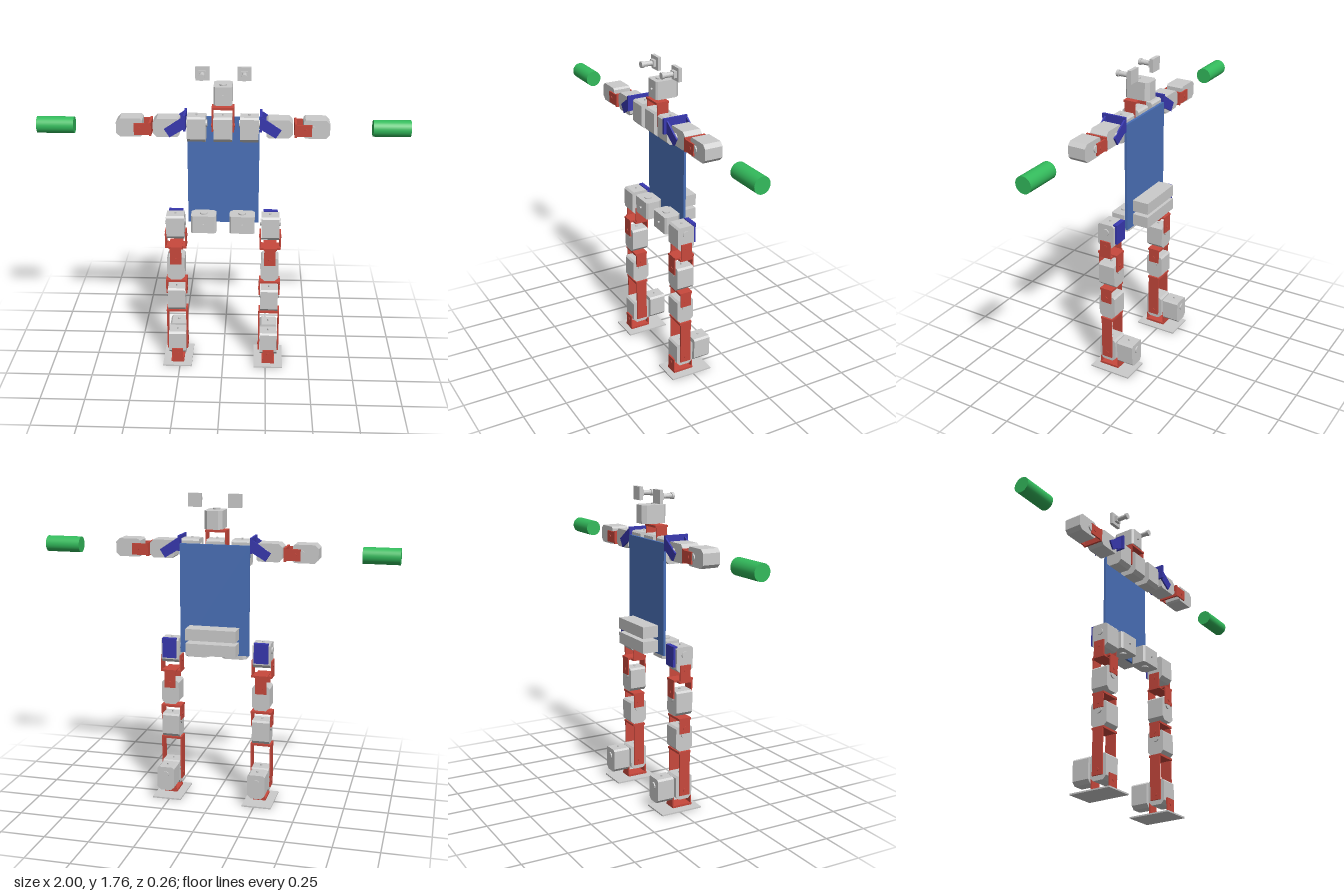
import * as THREE from 'three';

const mat = (color) => new THREE.MeshStandardMaterial({ color, flatShading: true });
const GREY = mat(0xcccccc);
const RED = mat(0xc8483c);
const BLUE = mat(0x3838b0);
const PLATE = mat(0x4a70b8);
const GREEN = new THREE.MeshStandardMaterial({ color: 0x33bb5c });
const H = Math.PI / 2;
const ZC = 0.04; // depth of the main servo line

function add(parent, name, geo, material, x = 0, y = 0, z = 0) {
  const m = new THREE.Mesh(geo, material);
  m.name = name;
  m.position.set(x, y, z);
  parent.add(m);
  return m;
}

// Box given by its lower and upper corners
function slab(parent, name, material, a, b) {
  const d = b.map((v, i) => v - a[i]);
  const c = b.map((v, i) => (v + a[i]) / 2);
  return add(parent, name, new THREE.BoxGeometry(...d), material, ...c);
}

// Servo: chamfered outline w x h, extruded along its output axis (local z)
function servo(parent, name, pos, rot, w = 0.1, h = 0.14, d = 0.1) {
  const g = new THREE.Group();
  g.name = name;
  const c = 0.02, x = w / 2, y = h / 2;
  const outline = new THREE.Shape([
    [-x + c, -y], [x - c, -y], [x, -y + c], [x, y - c / 2],
    [x - c / 2, y], [-x + c / 2, y], [-x, y - c / 2], [-x, -y + c],
  ].map((p) => new THREE.Vector2(...p)));
  const body = new THREE.ExtrudeGeometry(outline, { depth: d, bevelEnabled: false });
  add(g, 'servoBody', body.translate(0, 0, -d / 2), GREY);
  // output horn on both faces
  const horn = new THREE.CylinderGeometry(0.02, 0.02, d + 0.014, 16).rotateX(H);
  add(g, 'servoHorn', horn, GREY, 0, y - 0.045, 0);
  // cable boss on the end
  add(g, 'cableBoss', new THREE.CylinderGeometry(0.006, 0.006, 0.01, 8), GREY, 0, y + 0.004, 0);
  g.position.set(...pos);
  g.rotation.set(...rot, 'ZYX');
  parent.add(g);
  return g;
}

// U bracket: base plate with two straps hanging along local -y
function bracket(parent, name, pos, rot, length, gap = 0.12) {
  const t = 0.008, g = new THREE.Group();
  g.name = name;
  add(g, 'bracketBase', new THREE.BoxGeometry(gap, 0.012, 0.075), RED);
  for (const s of [-1, 1]) {
    add(g, 'bracketStrap', new THREE.BoxGeometry(t, length, 0.064), RED, s * (gap - t) / 2, -length / 2, 0);
    const pin = new THREE.CylinderGeometry(0.01, 0.01, 0.006, 10).rotateZ(H);
    add(g, 'bracketPin', pin, RED, s * gap / 2, -length + 0.03, 0);
  }
  g.position.set(...pos);
  g.rotation.set(...rot, 'ZYX');
  parent.add(g);
  return g;
}

function buildLeg(s) {
  const g = new THREE.Group();
  g.name = s > 0 ? 'leftLeg' : 'rightLeg';
  const x = 0.265 * s;
  const alongX = [0, H, 0], alongZ = [0, 0, 0];
  // hip with its rear mounting plate
  servo(g, 'hipServo', [x, 0.865, ZC], alongX);
  slab(g, 'hipPlate', BLUE, [x - 0.04, 0.826, -0.026], [x + 0.04, 0.937, -0.012]);
  slab(g, 'hipPlateTop', BLUE, [x - 0.04, 0.931, -0.026], [x + 0.04, 0.94, 0.0]);
  // crossed brackets between hip and thigh
  bracket(g, 'hipBracket', [x, 0.742, ZC], [Math.PI, 0, 0], 0.093);
  bracket(g, 'thighBracket', [x, 0.747, ZC], [0, H, 0], 0.1);
  servo(g, 'thighServo', [x, 0.617, ZC], alongZ);
  // knee
  bracket(g, 'kneeBracket', [x, 0.53, ZC], [0, 0, 0], 0.082);
  servo(g, 'kneeServo', [x, 0.415, ZC], alongX);
  // shin and ankle
  bracket(g, 'shinBracket', [x, 0.338, ZC], [0, 0, 0], 0.253);
  slab(g, 'shinCrossPlate', RED, [x - 0.06, 0.14, 0.01], [x + 0.06, 0.148, 0.07]);
  servo(g, 'anklePitchServo', [x, 0.13, ZC], alongX);
  servo(g, 'ankleRollServo', [x, 0.13, -0.073], alongZ);
  // foot
  bracket(g, 'footBracket', [x, 0.016, ZC], [Math.PI, H, 0], 0.08);
  slab(g, 'footPlate', GREY, [x - 0.084, 0, -0.113], [x + 0.084, 0.008, 0.135]);
  return g;
}

function buildArm(s) {
  const g = new THREE.Group();
  g.name = s > 0 ? 'leftArm' : 'rightArm';
  const y = 1.447;
  // tilted shoulder bracket
  add(g, 'shoulderBase', new THREE.BoxGeometry(0.012, 0.085, 0.14), BLUE, 0.203 * s, 1.482, 0.047);
  const outline = new THREE.Shape([[0.2, 1.515], [0.215, 1.51], [0.312, 1.445], [0.283, 1.4], [0.2, 1.45]]
    .map((p) => new THREE.Vector2(p[0] * s, p[1])));
  for (const z of [-0.024, 0.093]) {
    add(g, 'shoulderStrap', new THREE.ExtrudeGeometry(outline, { depth: 0.009, bevelEnabled: false }), BLUE, 0, 0, z);
  }
  // upper arm, elbow bracket, forearm
  servo(g, 'upperArmServo', [0.303 * s, y, ZC - 0.003], [0, 0, s * H]);
  bracket(g, 'elbowBracket', [0.388 * s, y - 0.006, ZC - 0.003], [0, H, s * H], 0.086);
  servo(g, 'forearmServo', [0.5 * s, y, ZC - 0.003], [0, 0, s * H]);
  // hand grip
  add(g, 'hand', new THREE.CylinderGeometry(0.045, 0.045, 0.2, 32).rotateZ(H), GREEN, 0.9 * s, 1.445, 0.042);
  return g;
}

function buildHead() {
  const g = new THREE.Group();
  g.name = 'head';
  bracket(g, 'neckBracket', [0, 1.552, ZC], [0, 0, 0], 0.13);
  servo(g, 'headServo', [0, 1.619, 0.003], [H, 0, 0]);
  // camera boards with lens barrels
  for (const s of [-1, 1]) {
    const x = 0.112 * s, y = 1.721;
    slab(g, 'cameraBoard', GREY, [x - 0.037, y - 0.037, -0.023], [x + 0.037, y + 0.037, -0.003]);
    slab(g, 'lensMount', GREY, [x - 0.018, y - 0.018, -0.003], [x + 0.018, y + 0.018, 0.014]);
    add(g, 'lensBarrel', new THREE.CylinderGeometry(0.014, 0.014, 0.08, 20).rotateX(H), GREY, x, y, 0.04);
    add(g, 'lensRim', new THREE.CylinderGeometry(0.018, 0.018, 0.015, 20).rotateX(H), GREY, x, y, 0.073);
  }
  return g;
}

function buildTorso() {
  const g = new THREE.Group();
  g.name = 'torso';
  slab(g, 'backPlate', PLATE, [-0.197, 0.865, -0.025], [0.197, 1.482, -0.011]);
  // row of chest servos
  for (const x of [-0.142, 0, 0.142]) servo(g, 'chestServo', [x, 1.437, ZC], [0, H, 0]);
  // waist servos turning about the vertical axis
  for (const s of [-1, 1]) servo(g, 'waistServo', [0.107 * s, 0.888, ZC], [H, 0, 0], 0.14, 0.1, 0.1);
  // battery packs
  for (const y of [0.877, 0.96]) slab(g, 'battery', GREY, [-0.142, y, -0.121], [0.142, y + 0.065, -0.027]);
  return g;
}

export function createModel() {
  const model = new THREE.Group();
  model.name = 'humanoidRobot';
  model.add(buildTorso(), buildHead());
  for (const s of [-1, 1]) model.add(buildLeg(s), buildArm(s));
  return model;
}
